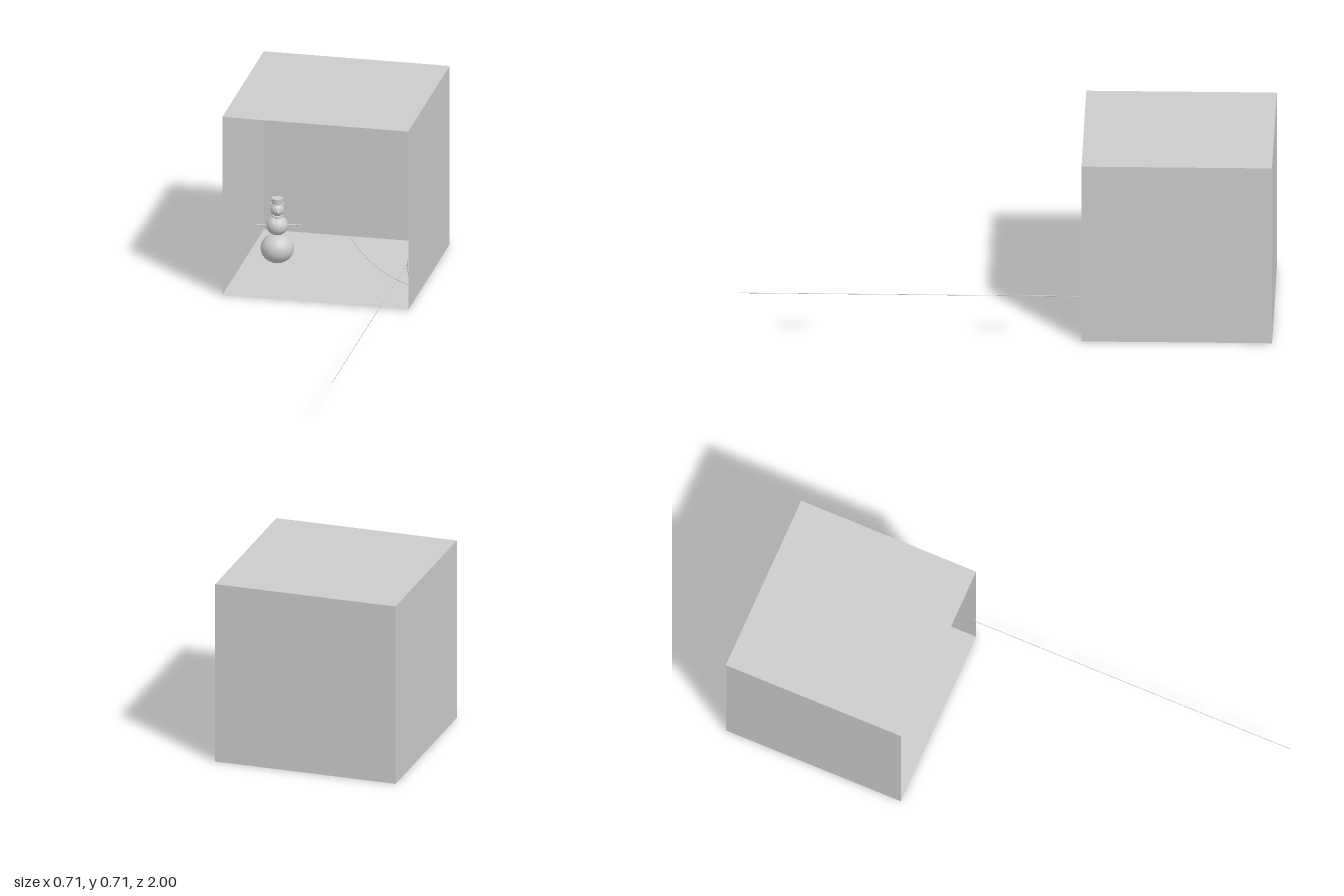
import * as THREE from 'three';

const grey = new THREE.MeshStandardMaterial({ color: 0xcccccc });
const greyOpen = new THREE.MeshStandardMaterial({ color: 0xcccccc, side: THREE.DoubleSide });

function add(parent, name, geometry, position = [0, 0, 0], material = grey) {
  const mesh = new THREE.Mesh(geometry, material);
  mesh.name = name;
  mesh.position.set(...position);
  parent.add(mesh);
  return mesh;
}

// Straight twig between two points
function twig(parent, name, a, b, r0, r1) {
  const from = new THREE.Vector3(...a), to = new THREE.Vector3(...b);
  const dir = to.clone().sub(from);
  const mesh = add(parent, name, new THREE.CylinderGeometry(r1, r0, dir.length(), 8));
  mesh.position.copy(from).addScaledVector(dir, 0.5);
  mesh.quaternion.setFromUnitVectors(new THREE.Vector3(0, 1, 0), dir.normalize());
  return mesh;
}

// Open-fronted cubic room of thin panels
function createRoom() {
  const room = new THREE.Group();
  room.name = 'room';
  const s = 0.715, h = s / 2, q = Math.PI / 2;
  const panels = [
    ['backWall', [0, h, -h], [0, 0, 0]],
    ['leftWall', [h, h, 0], [0, -q, 0]],
    ['rightWall', [-h, h, 0], [0, q, 0]],
    ['floor', [0, 0.001, 0], [-q, 0, 0]],
    ['ceiling', [0, s, 0], [q, 0, 0]],
  ];
  for (const [name, position, rotation] of panels) {
    add(room, name, new THREE.PlaneGeometry(s, s), position, greyOpen).rotation.set(...rotation);
  }
  room.position.z = -1 + h;
  return room;
}

function createSnowman() {
  const man = new THREE.Group();
  man.name = 'snowman';

  // Snowballs: name, radius, vertical radius, height of the centre
  const balls = [
    ['base', 0.0625, 0.057, 0.059],
    ['torso', 0.041, 0.038, 0.15],
    ['head', 0.0255, 0.0255, 0.213],
  ];
  for (const [name, r, ry, y] of balls) {
    add(man, name, new THREE.SphereGeometry(r, 40, 28), [0, y, 0]).scale.y = ry / r;
  }

  // Hat
  add(man, 'hatBrim', new THREE.CylinderGeometry(0.0255, 0.0255, 0.002, 32), [0, 0.237, 0]);
  add(man, 'hatCrown', new THREE.CylinderGeometry(0.0225, 0.0205, 0.022, 32), [0, 0.248, 0]);

  // Face and buttons
  const nose = add(man, 'nose', new THREE.ConeGeometry(0.0085, 0.022, 16), [0, 0.211, 0.033]);
  nose.rotation.x = Math.PI / 2;
  add(man, 'button', new THREE.SphereGeometry(0.0035, 12, 8), [0, 0.148, 0.04]);

  // Scarf with a hanging tail
  const scarf = add(man, 'scarf', new THREE.TorusGeometry(0.017, 0.0045, 12, 36), [0, 0.188, 0]);
  scarf.rotation.x = Math.PI / 2;
  const tail = add(man, 'scarfTail', new THREE.BoxGeometry(0.006, 0.027, 0.004), [-0.016, 0.177, 0.027]);
  tail.rotation.set(-0.45, 0, -0.08);

  // Twig arms with three fingers each
  for (const [side, name] of [[1, 'leftArm'], [-1, 'rightArm']]) {
    const arm = new THREE.Group();
    arm.name = name;
    const drop = side > 0 ? -0.002 : 0.003;
    const wrist = [side * 0.08, 0.151 + drop * 1.5, 0];
    twig(arm, 'branch', [side * 0.035, 0.151, 0], wrist, 0.0026, 0.002);
    for (const [dx, dy, dz] of [[0.012, 0.012, 0.003], [0.018, 0.001, -0.003], [0.013, -0.009, 0.003]]) {
      twig(arm, 'finger', wrist, [wrist[0] + side * dx, wrist[1] + dy, dz], 0.0019, 0.0013);
    }
    man.add(arm);
  }

  man.position.set(-0.232, 0, -0.67);
  man.rotation.y = 0.32;
  return man;
}

// Thin cord: straight outside the room, slack across the floor inside
function createCord() {
  const cord = new THREE.Group();
  cord.name = 'cord';
  const straight = add(cord, 'straightCord', new THREE.CylinderGeometry(0.0012, 0.0012, 1.285, 8), [0.352, 0.182, 0.3575]);
  straight.rotation.x = Math.PI / 2;
  const path = new THREE.CatmullRomCurve3([
    [0.352, 0.182, -0.285], [0.354, 0.14, -0.3], [0.355, 0.088, -0.34], [0.339, 0.027, -0.45],
    [0.31, 0.012, -0.51], [0.214, 0.004, -0.61], [0.119, 0.016, -0.71],
    [0.061, 0.034, -0.78], [0.01, 0.06, -0.84],
  ].map((p) => new THREE.Vector3(...p)));
  add(cord, 'slackCord', new THREE.TubeGeometry(path, 80, 0.0012, 8));
  add(cord, 'cordClip', new THREE.BoxGeometry(0.004, 0.027, 0.004), [0.354, 0.184, -0.288]);
  return cord;
}

export function createModel() {
  const model = new THREE.Group();
  model.name = 'snowmanRoom';
  model.add(createRoom(), createSnowman(), createCord());
  return model;
}
